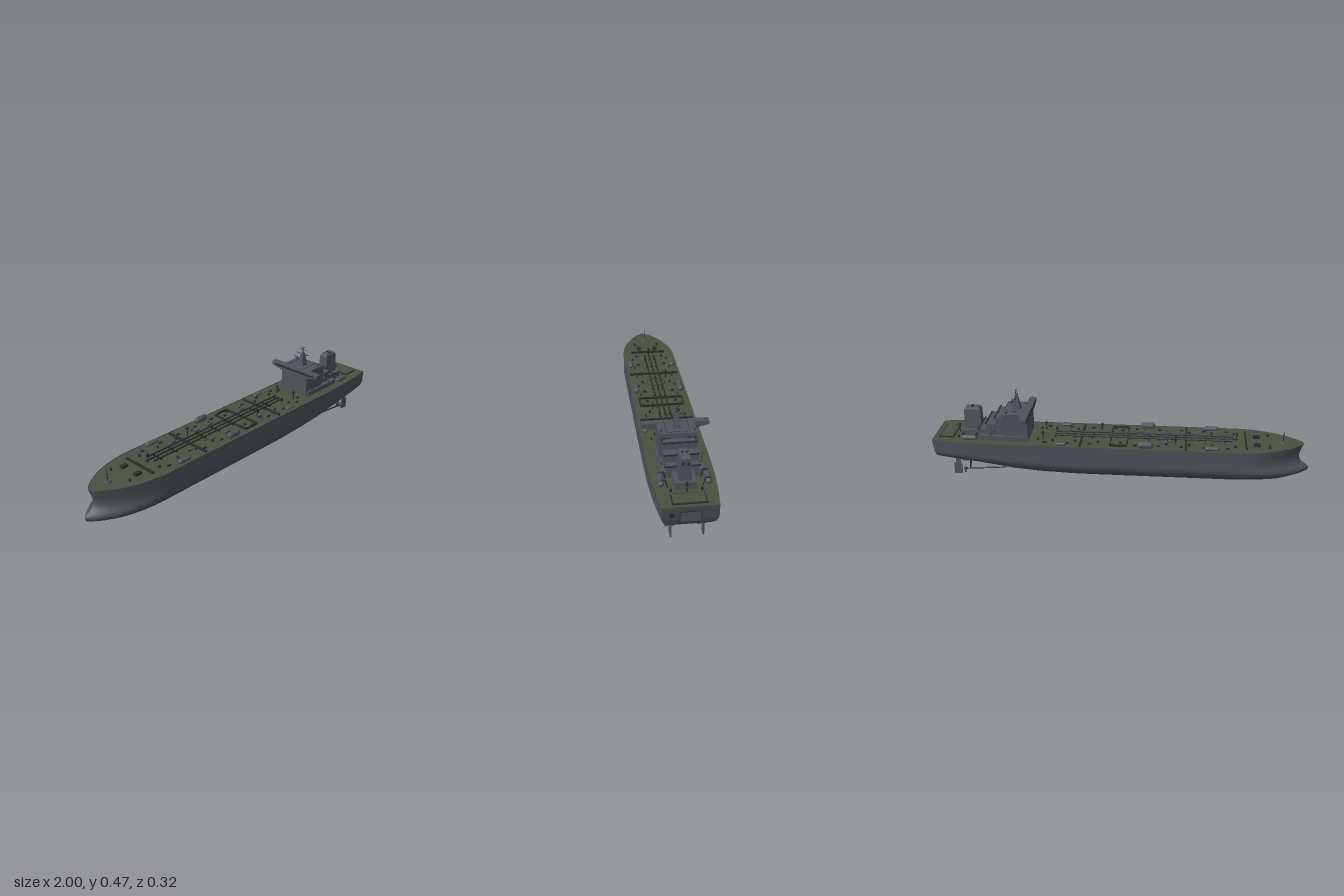
import * as THREE from 'three';

const DECK = 0.22, FLOOR = 0.216;
const mat = (name, color) => Object.assign(new THREE.MeshStandardMaterial({ color }), { name });

// Linear interpolation through [input, output] pairs
function lookup(pairs, v) {
  if (v <= pairs[0][0]) return pairs[0][1];
  for (let i = 1; i < pairs.length; i++) {
    const [a, p] = pairs[i - 1], [b, q] = pairs[i];
    if (v <= b) return p + (q - p) * (v - a) / (b - a);
  }
  return pairs[pairs.length - 1][1];
}

const KEEL = [[-0.96, 0.045], [-0.92, 0.025], [-0.85, 0.013], [0.25, 0.013], [0.45, 0.022], [0.6, 0.04],
  [0.7, 0.063], [0.8, 0.083], [0.9, 0.098], [1, 0.11]];
const STEM = [[0.045, -0.94], [0.052, -0.972], [0.064, -0.993], [0.08, -1], [0.095, -0.988], [0.11, -0.965],
  [0.13, -0.947], [0.16, -0.944], [0.22, -0.965]];
const TRANSOM = [[0.11, 0.968], [0.125, 0.982], [0.15, 0.99], [0.22, 1]];
const BEAM = [[-1, 0.15], [0.65, 0.15], [0.8, 0.145], [0.9, 0.137], [1, 0.125]];

// Hull surface point: t runs bow to stern, v keel to deck
function hullPoint(t, v) {
  const nominal = -0.96 + 1.96 * t;
  const keel = lookup(KEEL, nominal);
  const y = keel + (DECK - keel) * v;
  const stem = lookup(STEM, y);
  const x = stem + (lookup(TRANSOM, y) - stem) * t;
  const s = Math.min((x - stem) / 0.36, 1);
  const entry = Math.pow(Math.max(0, 1 - (1 - s) ** 2), 0.75);
  const round = Math.sqrt(Math.max(0, 1 - (1 - Math.min(v / 0.5, 1)) ** 2));
  const flat = THREE.MathUtils.smoothstep(nominal, 0.4, 1) * 0.6;
  return [x, y, lookup(BEAM, x) * entry * (flat + (1 - flat) * round)];
}

// Surface through rows of equally many points
function loft(rows) {
  const n = rows[0].length, index = [];
  for (let i = 0; i < rows.length - 1; i++) for (let j = 0; j < n - 1; j++) {
    const a = i * n + j, b = a + n;
    index.push(a, b, a + 1, a + 1, b, b + 1);
  }
  const g = new THREE.BufferGeometry();
  g.setAttribute('position', new THREE.Float32BufferAttribute(rows.flat(2), 3));
  g.setIndex(index);
  g.computeVertexNormals();
  return g;
}

export function createModel() {
  const ship = new THREE.Group();
  ship.name = 'tankerShip';
  const grey = mat('hull grey', 0x50535a);
  const hullGrey = mat('hull shell grey', 0x4e5157);
  hullGrey.side = THREE.DoubleSide;
  const green = mat('deck green', 0x48523f);
  green.side = THREE.DoubleSide;
  const dark = mat('dark fittings', 0x2c2f31);

  const add = (name, geo, material, x = 0, y = 0, z = 0) => {
    const m = new THREE.Mesh(geo, material);
    m.name = name;
    m.position.set(x, y, z);
    ship.add(m);
    return m;
  };
  // Box given by its extents
  const box = (name, material, x0, x1, y0, y1, z0, z1) => add(name,
    new THREE.BoxGeometry(x1 - x0, y1 - y0, z1 - z0), material, (x0 + x1) / 2, (y0 + y1) / 2, (z0 + z1) / 2);
  const rod = (name, material, a, b, r, r2 = r) => {
    const p = new THREE.Vector3(...a), q = new THREE.Vector3(...b);
    const m = add(name, new THREE.CylinderGeometry(r2, r, p.distanceTo(q), 8), material);
    m.position.copy(p).add(q).multiplyScalar(0.5);
    m.quaternion.setFromUnitVectors(new THREE.Vector3(0, 1, 0), q.sub(p).normalize());
    return m;
  };
  // Block whose top is scaled in x and z
  const taper = (name, material, w, h, d, sx, sz, x, y, z) => {
    const g = new THREE.BoxGeometry(w, h, d), p = g.attributes.position;
    for (let i = 0; i < p.count; i++) if (p.getY(i) > 0) p.setXYZ(i, p.getX(i) * sx, p.getY(i), p.getZ(i) * sz);
    g.computeVertexNormals();
    return add(name, g, material, x, y + h / 2, z);
  };

  // Hull shell, transom and deck
  const V = 24, T = 80;
  const section = t => {
    const half = Array.from({ length: V + 1 }, (_, k) => hullPoint(t, (k / V) ** 1.6));
    const mirror = half.map(([x, y, z]) => [x, y, -z]).reverse();
    return [...mirror, [half[0][0], half[0][1], 0], ...half];
  };
  const stations = Array.from({ length: T + 1 }, (_, i) => (i / T) ** 1.7);
  add('hull', loft(stations.map(section)), hullGrey);
  add('transom', loft(Array.from({ length: V + 1 }, (_, k) => {
    const [x, y, z] = hullPoint(1, (k / V) ** 1.6);
    return [[x, y, z], [x, y, -z]];
  })), hullGrey);
  add('deck', loft(stations.map(t => {
    const [x, , z] = hullPoint(t, 1);
    return [[x, FLOOR, z], [x, FLOOR, -z]];
  })), green);
  box('sternDoor', dark, 0.992, 1, 0.143, 0.195, -0.048, 0.048);
  box('sternDoorPanel', grey, 0.996, 1.001, 0.146, 0.192, -0.045, 0.045);
  box('sternHatch', dark, 0.988, 0.998, 0.166, 0.19, 0.07, 0.095);
  box('aftHatchFrame', dark, 0.895, 0.975, FLOOR, 0.221, -0.078, 0.078);
  box('aftHatch', green, 0.901, 0.969, 0.221, 0.223, -0.072, 0.072);

  // Deck piping
  for (const z of [-0.027, 0, 0.027]) {
    rod('cargoPipe', dark, [-0.62 + Math.abs(z), 0.229, z], [0.36, 0.229, z], 0.0045);
    for (let x = -0.55; x < 0.36; x += 0.1) box('pipeSupport', dark, x, x + 0.006, FLOOR, 0.228, z - 0.006, z + 0.006);
  }
  for (const [x, w] of [[-0.66, 0.1], [-0.345, 0.135], [0.21, 0.135]])
    box('crossPipe', dark, x - 0.005, x + 0.005, FLOOR, 0.227, -w, w);
  for (const x of [-0.035, 0.053]) box('manifoldSide', dark, x - 0.003, x + 0.003, FLOOR, 0.227, -0.115, 0.115);
  for (const z of [-0.115, 0.115]) box('manifoldEnd', dark, -0.035, 0.053, FLOOR, 0.227, z - 0.003, z + 0.003);
  const ring = add('landingRing', new THREE.TorusGeometry(0.05, 0.0015, 6, 40), dark, -0.24, 0.218, 0);
  ring.rotation.x = Math.PI / 2;

  // Rounded deck lockers, hatches, bollards and posts
  for (const s of [-1, 1]) {
    for (const [x, len, h] of [[-0.48, 0.08, 0.024], [-0.135, 0.08, 0.035], [0.31, 0.06, 0.018]]) {
      const locker = add('deckLocker', new THREE.CapsuleGeometry(0.015, len - 0.03, 6, 12), grey, x, FLOOR + h / 2, s * 0.121);
      locker.rotation.z = Math.PI / 2;
      locker.scale.x = h / 0.03;
    }
    for (let i = 0; i < 9; i++) {
      const x = -0.6 + i * 0.12;
      add('tankHatch', new THREE.CylinderGeometry(0.007, 0.007, 0.01, 10), dark, x, FLOOR + 0.005, s * 0.075);
      box('bollard', dark, x + 0.03, x + 0.05, FLOOR, 0.223, s * 0.1 - 0.004, s * 0.1 + 0.004);
    }
    for (const x of [-0.39, -0.23, -0.13, 0.12])
      box('valveBox', grey, x - 0.016, x + 0.016, FLOOR, 0.226, s * 0.062 - 0.007, s * 0.062 + 0.007);
    box('mooringWinch', dark, -0.735, -0.7, FLOOR, 0.228, s * 0.05 - 0.012, s * 0.05 + 0.012);
    for (const x of [-0.78, 0.44, 0.87])
      add('bollardPost', new THREE.CylinderGeometry(0.006, 0.006, 0.014, 10), dark, x, 0.222, s * 0.07);
  }
  rod('foremast', dark, [-0.855, FLOOR, 0], [-0.855, 0.283, 0], 0.003, 0.0015);
  add('foremastBase', new THREE.CylinderGeometry(0.015, 0.018, 0.008, 16), grey, -0.855, 0.22, 0);
  [[-0.61, 0], [-0.29, -0.06], [0.11, 0.06], [0.415, 0.06], [0.415, -0.06], [0.88, 0]].forEach(([x, z]) => {
    rod('deckPost', dark, [x, FLOOR, z], [x, 0.265, z], 0.003);
    box('deckPostHead', dark, x - 0.005, x + 0.005, 0.25, 0.265, z - 0.005, z + 0.005);
  });

  // Stepped deckhouse
  box('houseBase', grey, 0.5, 0.75, FLOOR, 0.243, -0.1, 0.1);
  box('bridgeTower', grey, 0.49, 0.625, FLOOR, 0.365, -0.09, 0.09);
  box('upperTier', grey, 0.625, 0.665, FLOOR, 0.34, -0.075, 0.075);
  box('middleTier', grey, 0.665, 0.715, FLOOR, 0.305, -0.08, 0.08);
  box('lowerTier', grey, 0.715, 0.755, FLOOR, 0.27, -0.075, 0.075);
  for (const [x, y] of [[0.665, 0.34], [0.715, 0.305], [0.755, 0.27]]) {
    box('tierEdge', dark, x - 0.004, x + 0.004, y - 0.002, y + 0.003, -0.082, 0.082);
  }
  const wing = new THREE.Shape([[-0.162, 0.347], [-0.09, 0.33], [0.09, 0.33], [0.162, 0.347], [0.162, 0.365], [-0.162, 0.365]]
    .map(p => new THREE.Vector2(...p)));
  const wingGeo = new THREE.ExtrudeGeometry(wing, { depth: 0.036, bevelEnabled: false });
  add('bridgeWings', wingGeo.rotateY(-Math.PI / 2), grey, 0.52);
  box('bridgeWindows', dark, 0.482, 0.486, 0.348, 0.358, -0.14, 0.14);
  for (const s of [-1, 1]) {
    box('rearWindow', dark, 0.624, 0.627, 0.33, 0.345, s * 0.06 - 0.022, s * 0.06 + 0.022).visible = true;
    rod('radomePost', dark, [0.6, 0.365, s * 0.078], [0.6, 0.378, s * 0.078], 0.003);
    add('radome', new THREE.SphereGeometry(0.008, 14, 10), grey, 0.6, 0.378, s * 0.078);
    rod('roofRail', dark, [0.5, 0.372, s * 0.055], [0.62, 0.372, s * 0.055], 0.001);
  }
  rod('roofRail', dark, [0.62, 0.372, -0.055], [0.62, 0.372, 0.055], 0.001);
  rod('radarBar', dark, [0.6, 0.382, -0.095], [0.6, 0.382, -0.06], 0.002);

  // Signal mast
  taper('mastTower', grey, 0.045, 0.075, 0.036, 0.35, 0.42, 0.56, 0.365, 0);
  rod('mastPole', dark, [0.56, 0.435, 0], [0.56, 0.473, 0], 0.003, 0.0015);
  for (const [y, w] of [[0.398, 0.028], [0.433, 0.045], [0.46, 0.025], [0.472, 0.015]])
    rod('mastYard', dark, [0.56, y, -w], [0.56, y, w], 0.0013);
  for (const s of [-1, 1]) rod('yardBrace', dark, [0.56, 0.42, 0], [0.56, 0.433, s * 0.04], 0.001);

  // Funnel
  box('funnelHouse', grey, 0.74, 0.86, FLOOR, 0.25, -0.05, 0.05);
  taper('funnel', grey, 0.09, 0.11, 0.058, 0.97, 0.8, 0.798, 0.248, 0);
  taper('funnelCap', grey, 0.087, 0.012, 0.046, 0.8, 0.8, 0.798, 0.358, 0);
  for (const s of [-1, 1]) {
    rod('exhaustPipe', dark, [0.8, 0.365, s * 0.01], [0.8, 0.374, s * 0.01], 0.006);
    box('funnelVent', dark, 0.84, 0.844, 0.325, 0.342, s * 0.012 - 0.005, s * 0.012 + 0.005);
    // Lifeboat with davits
    const boat = add('lifeboat', new THREE.CapsuleGeometry(0.014, 0.06, 6, 14), grey, 0.8, 0.234, s * 0.107);
    boat.rotation.z = Math.PI / 2;
    for (const x of [0.765, 0.835]) {
      rod('davitLeg', dark, [x, FLOOR, s * 0.08], [x, 0.256, s * 0.09], 0.003);
      rod('davitArm', dark, [x, 0.256, s * 0.09], [x, 0.253, s * 0.115], 0.003);
    }
    rod('storesCraneBase', grey, [0.69, 0.24, s * 0.092], [0.69, 0.262, s * 0.092], 0.006);
    rod('storesCraneJib', dark, [0.69, 0.255, s * 0.09], [0.66, 0.278, s * 0.11], 0.002);
  }

  // Twin shafts, propellers and rudders
  for (const s of [-1, 1]) {
    const z = s * 0.074;
    rod('propellerShaft', dark, [0.62, 0.048, z], [0.845, 0.03, z], 0.004);
    for (const d of [-0.016, 0.016]) rod('shaftStrut', dark, [0.82, 0.032, z], [0.81, 0.1, z + d], 0.003);
    const hub = add('propellerHub', new THREE.SphereGeometry(0.007, 12, 8), dark, 0.845, 0.03, z);
    hub.scale.x = 1.6;
    for (let i = 0; i < 3; i++) {
      const a = i * Math.PI * 2 / 3;
      const blade = add('propellerBlade', new THREE.SphereGeometry(0.01, 10, 8), grey,
        0.845, 0.03 + Math.cos(a) * 0.014, z + Math.sin(a) * 0.014);
      blade.scale.set(0.2, 1, 0.85);
      blade.rotation.set(a, 0.5, 0, 'XYZ');
    }
    box('rudder', grey, 0.865, 0.908, 0, 0.062, z - 0.003, z + 0.003);
    box('rudderHorn', grey, 0.872, 0.895, 0.06, 0.125, z - 0.004, z + 0.004);
  }
  return ship;
}
